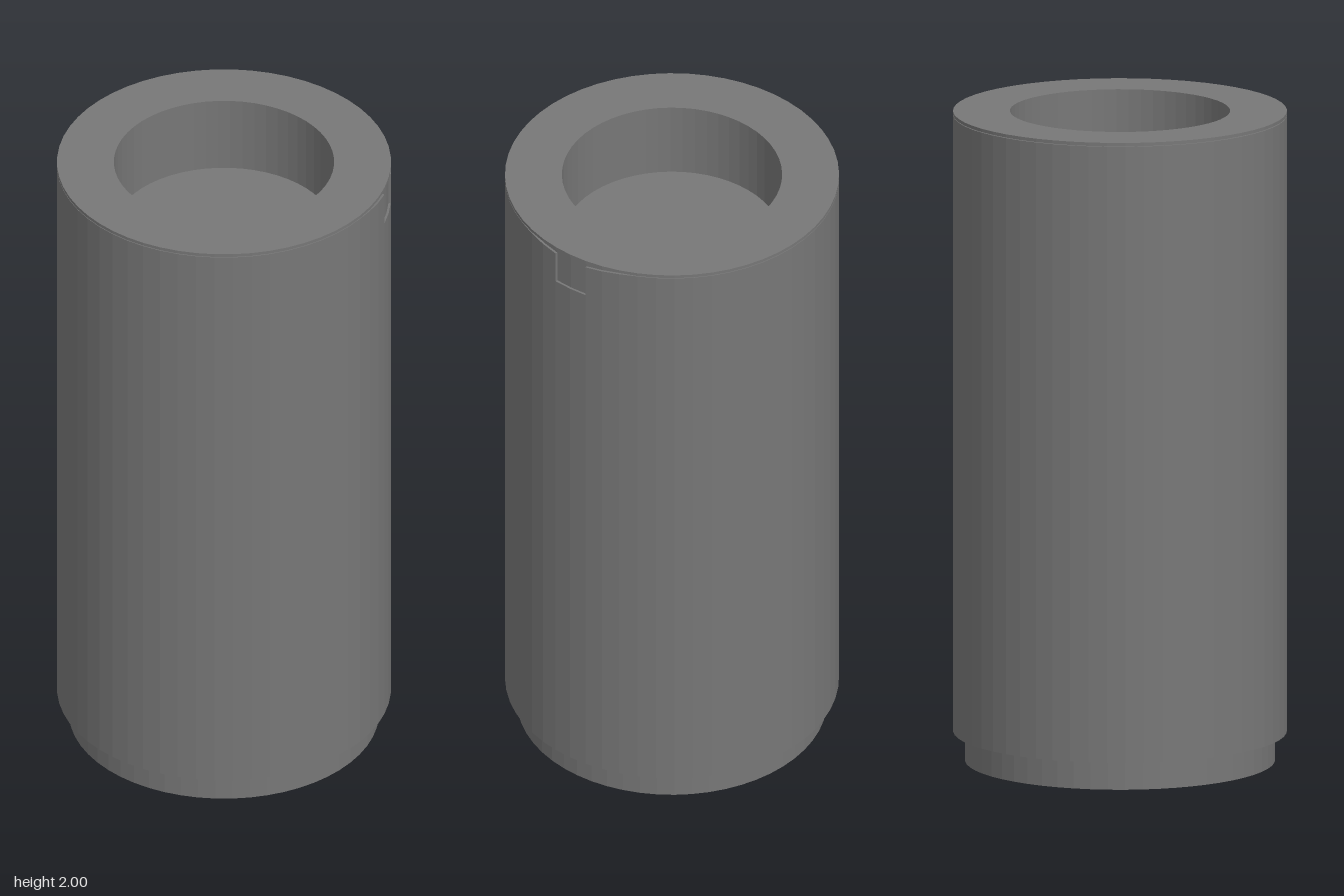
import * as THREE from 'three';

const SIDES = 56, STEP = Math.PI * 2 / SIDES;
const BODY_R = 0.505, NECK_R = 0.498, BORE_R = 0.333, FOOT_R = 0.469;
const FOOT_H = 0.09, BORE_FLOOR = 1.757, TOP = 2;
const LID_Y = 1.99, COLLAR_TOP = 1.988, SLOT_BOTTOM = 1.87;

const material = new THREE.MeshStandardMaterial({
  color: 0x777777, flatShading: true, side: THREE.DoubleSide,
});

function addMesh(group, name, geometry) {
  const mesh = new THREE.Mesh(geometry, material);
  mesh.name = name;
  group.add(mesh);
  return mesh;
}

// Revolves a profile of [radius, height] pairs around the y axis
function revolve(profile, sides = SIDES, start = 0) {
  const points = profile.map(([r, y]) => new THREE.Vector2(r, y));
  return new THREE.LatheGeometry(points, sides, start, sides * STEP);
}

export function createModel() {
  const model = new THREE.Group();
  model.name = 'boredCylinder';

  // Barrel with a narrower foot, a recessed neck under the lid and a blind bore
  addMesh(model, 'barrel', revolve([
    [0, 0], [FOOT_R, 0], [FOOT_R, FOOT_H], [BODY_R, FOOT_H],
    [BODY_R, SLOT_BOTTOM], [NECK_R, SLOT_BOTTOM], [NECK_R, LID_Y],
    [BODY_R, LID_Y], [BODY_R, TOP], [BORE_R, TOP],
    [BORE_R, BORE_FLOOR], [0, BORE_FLOOR],
  ]).toNonIndexed());

  // Collar around the neck, open at the slot on +x, its top edge dipping beside it
  const collar = revolve([
    [BODY_R, SLOT_BOTTOM], [BODY_R, COLLAR_TOP], [NECK_R, COLLAR_TOP],
  ], SIDES - 2, Math.PI / 2 + STEP);
  const p = collar.attributes.position;
  for (let i = 0; i < p.count; i++) {
    if (p.getX(i) > 0 && p.getY(i) > SLOT_BOTTOM + 0.01) {
      p.setY(i, p.getY(i) - 0.018 * Math.max(0, 1 - Math.abs(p.getZ(i)) / 0.2));
    }
  }
  collar.computeVertexNormals();
  addMesh(model, 'collar', collar);

  // Side walls of the shallow slot
  const wallHeight = 0.105;
  for (const side of [-1, 1]) {
    const wall = addMesh(model, 'slotWall', new THREE.PlaneGeometry(BODY_R - NECK_R, wallHeight));
    const r = (BODY_R + NECK_R) / 2;
    wall.position.set(r * Math.cos(STEP), SLOT_BOTTOM + wallHeight / 2, side * r * Math.sin(STEP));
    wall.rotation.y = -side * STEP;
  }

  return model;
}
